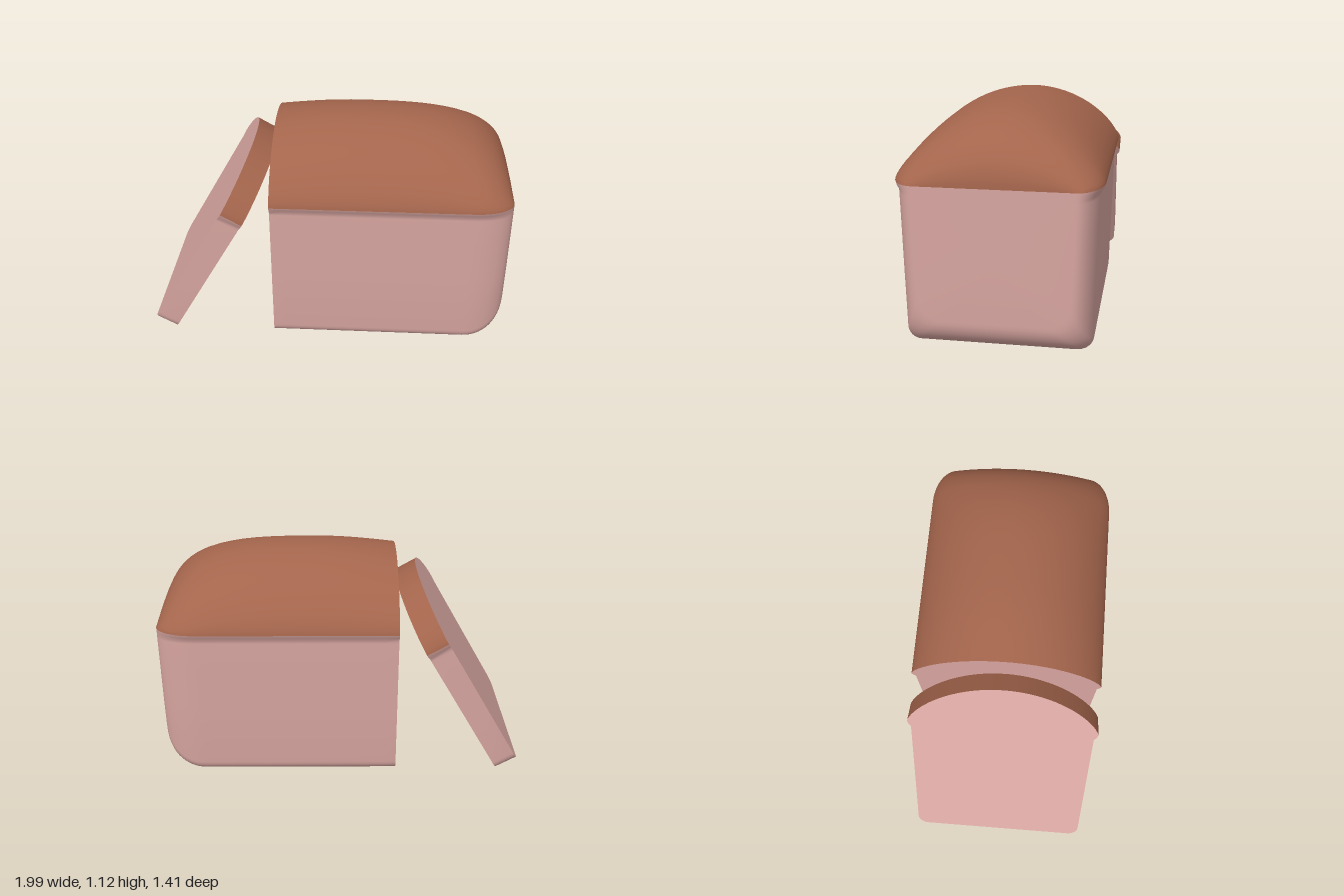
import * as THREE from 'three';
import { toCreasedNormals } from 'three/addons/utils/BufferGeometryUtils.js';

const crumb = new THREE.MeshStandardMaterial({ color: 0xd8a6a1 });
crumb.name = 'pinkCrumb';
const crust = new THREE.MeshStandardMaterial({ color: 0xa4654c });
crust.name = 'brownCrust';

const SHOULDER = 0.8; // height where the crust starts

// Lower outline at x: crust edge, lip, side, rounded corner, bottom, mirrored
function lowerRing(x, crustHalf, bodyHalf, bottom, radius = 0.055) {
  const foot = bodyHalf - 0.018;
  const half = [
    [crustHalf, SHOULDER],
    [crustHalf - (crustHalf - bodyHalf) * 0.25, SHOULDER - 0.015],
    [bodyHalf, SHOULDER - 0.036],
    [bodyHalf, SHOULDER - 0.05],
    [bodyHalf - 0.004, 0.6],
    [bodyHalf - 0.009, 0.4],
  ];
  for (let i = 0; i <= 6; i++) {
    const a = (i / 6) * Math.PI / 2;
    half.push([foot - radius + radius * Math.cos(a), bottom + radius - radius * Math.sin(a)]);
  }
  const mirrored = half.map(([w, y]) => [-w, y]).reverse();
  return half.concat(mirrored).map(([w, y]) => [x, y, w]);
}

// Domed outline at x, running from the -z shoulder over to the +z shoulder
function domeRing(x, half, height) {
  const n = 40;
  return Array.from({ length: n + 1 }, (_, i) => {
    const a = Math.PI * (1 - i / n);
    const rise = Math.pow(Math.max(0, Math.sin(a)), 1.4);
    return [x, SHOULDER + height * rise, half * Math.cos(a)];
  });
}

// Triangles between successive outlines
function loft(rings) {
  const out = [];
  for (let k = 0; k < rings.length - 1; k++) {
    for (let i = 0; i < rings[k].length - 1; i++) {
      const a = rings[k][i], b = rings[k][i + 1];
      const c = rings[k + 1][i], d = rings[k + 1][i + 1];
      out.push(a, b, c, b, d, c);
    }
  }
  return out;
}

// Flat fan filling an outline, facing +x, or -x when flipped
function cap(ring, flip = false) {
  const centre = [ring[0][0], 0.45, 0];
  const out = [];
  ring.forEach((p, i) => {
    const q = ring[(i + 1) % ring.length];
    out.push(centre, flip ? q : p, flip ? p : q);
  });
  return out;
}

function mesh(name, points, material) {
  const geometry = new THREE.BufferGeometry();
  geometry.setAttribute('position', new THREE.Float32BufferAttribute(points.flat(), 3));
  const m = new THREE.Mesh(toCreasedNormals(geometry, 0.65), material);
  m.name = name;
  return m;
}

function makeLoaf() {
  const loaf = new THREE.Group();
  loaf.name = 'loaf';
  const lower = [], dome = [];
  const addStation = (x, c) => {
    const half = 0.485 - 0.12 * c;
    const s = Math.max(0, (x - 0.35) / 0.85);
    const swell = 0.285 + 0.035 * Math.sin(Math.min(1, x / 0.42) * Math.PI / 2);
    const height = swell * Math.sqrt(Math.max(0, 1 - Math.pow(s, 3.5)));
    lower.push(lowerRing(x, half, 0.465 - 0.1 * c, 0.16 * c, 0.055 + 0.05 * c));
    dome.push(domeRing(x, half, height));
  };
  // Straight length, then the rounded far end
  for (let i = 0; i < 16; i++) addStation(i / 16, 0);
  for (let i = 0; i <= 14; i++) {
    const a = (i / 14) * Math.PI / 2;
    addStation(1 + 0.2 * Math.sin(a), 1 - Math.cos(a));
  }
  loaf.add(mesh('loafBody', [...loft(lower), ...cap(lower[lower.length - 1])], crumb));
  loaf.add(mesh('loafCrust', loft(dome), crust));
  loaf.add(mesh('cutFace', cap([...lower[0], ...dome[0]], true), crumb));
  return loaf;
}

function makeSlice() {
  const slice = new THREE.Group();
  slice.name = 'slice';
  const thickness = 0.12;
  const lower = [0, thickness].map((x) => lowerRing(x, 0.485, 0.465, 0));
  const dome = [0, thickness].map((x) => domeRing(x, 0.485, 0.262));
  slice.add(mesh('sliceRim', loft(lower), crumb));
  slice.add(mesh('sliceCrust', loft(dome), crust));
  slice.add(mesh('sliceOuterFace', cap([...lower[0], ...dome[0]], true), crumb));
  slice.add(mesh('sliceInnerFace', cap([...lower[1], ...dome[1]]), crumb));
  // Leaning against the cut end
  slice.position.set(-0.64, 0.06, 0);
  slice.rotation.z = -Math.PI / 6;
  return slice;
}

export function createModel() {
  const model = new THREE.Group();
  model.name = 'slicedBread';
  const bread = new THREE.Group();
  bread.name = 'bread';
  bread.add(makeLoaf(), makeSlice());
  bread.rotation.y = 0.318;
  bread.position.set(-0.26, 0, 0.09);
  model.add(bread);
  return model;
}
